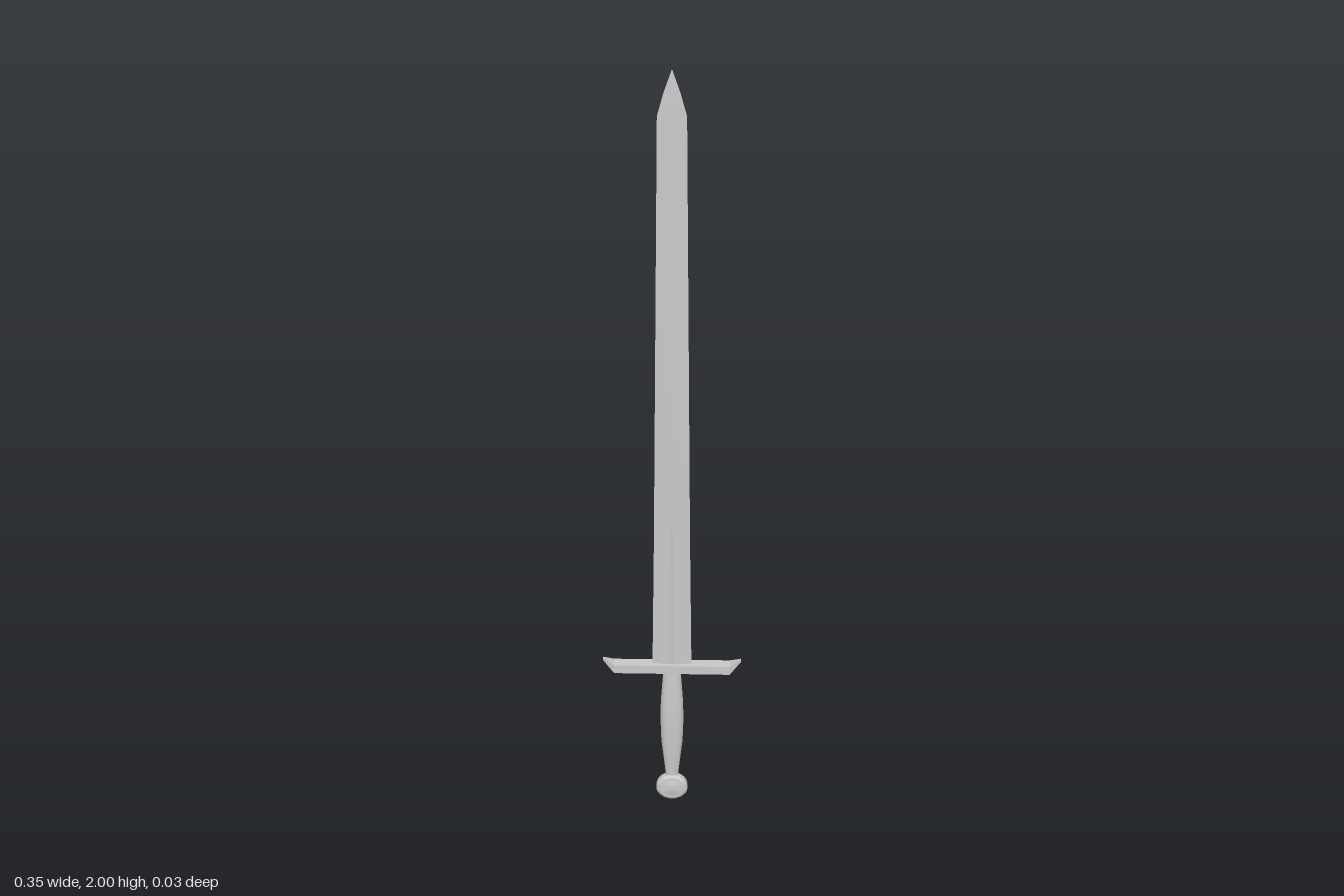
import * as THREE from 'three';
import { toCreasedNormals } from 'three/addons/utils/BufferGeometryUtils.js';

const material = new THREE.MeshStandardMaterial({ color: 0xcccccc });

// Skin a list of equal-length rings (counterclockwise about the direction of travel), capped at both ends
function loft(rings, crease) {
  const n = rings[0].length;
  const last = (rings.length - 1) * n;
  const index = [];
  for (let i = 0; i < rings.length - 1; i++) {
    for (let j = 0; j < n; j++) {
      const a = i * n + j, b = i * n + (j + 1) % n;
      index.push(a, b, b + n, a, b + n, a + n);
    }
  }
  for (let j = 1; j < n - 1; j++) {
    index.push(0, j + 1, j, last, last + j, last + j + 1);
  }
  const geometry = new THREE.BufferGeometry();
  geometry.setAttribute('position', new THREE.Float32BufferAttribute(rings.flat(2), 3));
  geometry.setIndex(index);
  return toCreasedNormals(geometry, crease);
}

// Blade section: sharp edges, bevelled faces and a shallow central groove
function bladeRing([y, w, t, groove]) {
  const half = [[w, 0], [w * 0.5, -t * 0.75], [w * 0.12, -t], [0, -t + groove], [-w * 0.12, -t], [-w * 0.5, -t * 0.75]];
  return [...half, ...half.map(([x, z]) => [-x, -z])].map(([x, z]) => [x, y, z]);
}

// Guard section: a rectangle across x
function guardRing([x, low, high, d]) {
  return [[x, low, d], [x, low, -d], [x, high, -d], [x, high, d]];
}

export function createModel() {
  const group = new THREE.Group();
  const add = (name, geometry) => {
    const mesh = new THREE.Mesh(geometry, material);
    mesh.name = name;
    group.add(mesh);
    return mesh;
  };
  const profile = (points) => points.map(([r, y]) => new THREE.Vector2(r, y));

  // Blade: y, half width, half thickness, groove depth
  add('blade', loft([
    [0.44, 0.05, 0.006, 0.002],
    [0.84, 0.044, 0.0055, 0.002],
    [0.87, 0.0437, 0.0055, 0],
    [1.9, 0.032, 0.004, 0],
    [1.95, 0.018, 0.0025, 0],
    [2, 0.0004, 0.0003, 0],
  ].map(bladeRing), 0.15));

  // Crossguard with upswept pointed ends: x, bottom, top, half depth
  add('crossguard', loft([
    [-0.176, 0.462, 0.47, 0.002],
    [-0.148, 0.43, 0.455, 0.014],
    [0.148, 0.43, 0.455, 0.014],
    [0.176, 0.462, 0.47, 0.002],
  ].map(guardRing), 0.3));

  // Grip: swelling flattened oval
  const grip = new THREE.LatheGeometry(profile([
    [0, 0.07], [0.016, 0.07], [0.018, 0.1], [0.023, 0.15], [0.028, 0.2],
    [0.03, 0.27], [0.029, 0.33], [0.025, 0.39], [0.022, 0.435], [0, 0.435],
  ]), 20);
  grip.scale(1, 1, 0.43);
  add('grip', toCreasedNormals(grip, 0.7));

  // Pommel: disc facing front and back with bevelled rim and a raised centre
  const pommel = new THREE.LatheGeometry(profile([
    [0, -0.014], [0.018, -0.0135], [0.026, -0.011], [0.034, -0.011], [0.042, -0.006],
    [0.042, 0.006], [0.034, 0.011], [0.026, 0.011], [0.018, 0.0135], [0, 0.014],
  ]), 28);
  pommel.rotateX(Math.PI / 2);
  add('pommel', toCreasedNormals(pommel, 0.4)).position.y = 0.042;

  return group;
}
